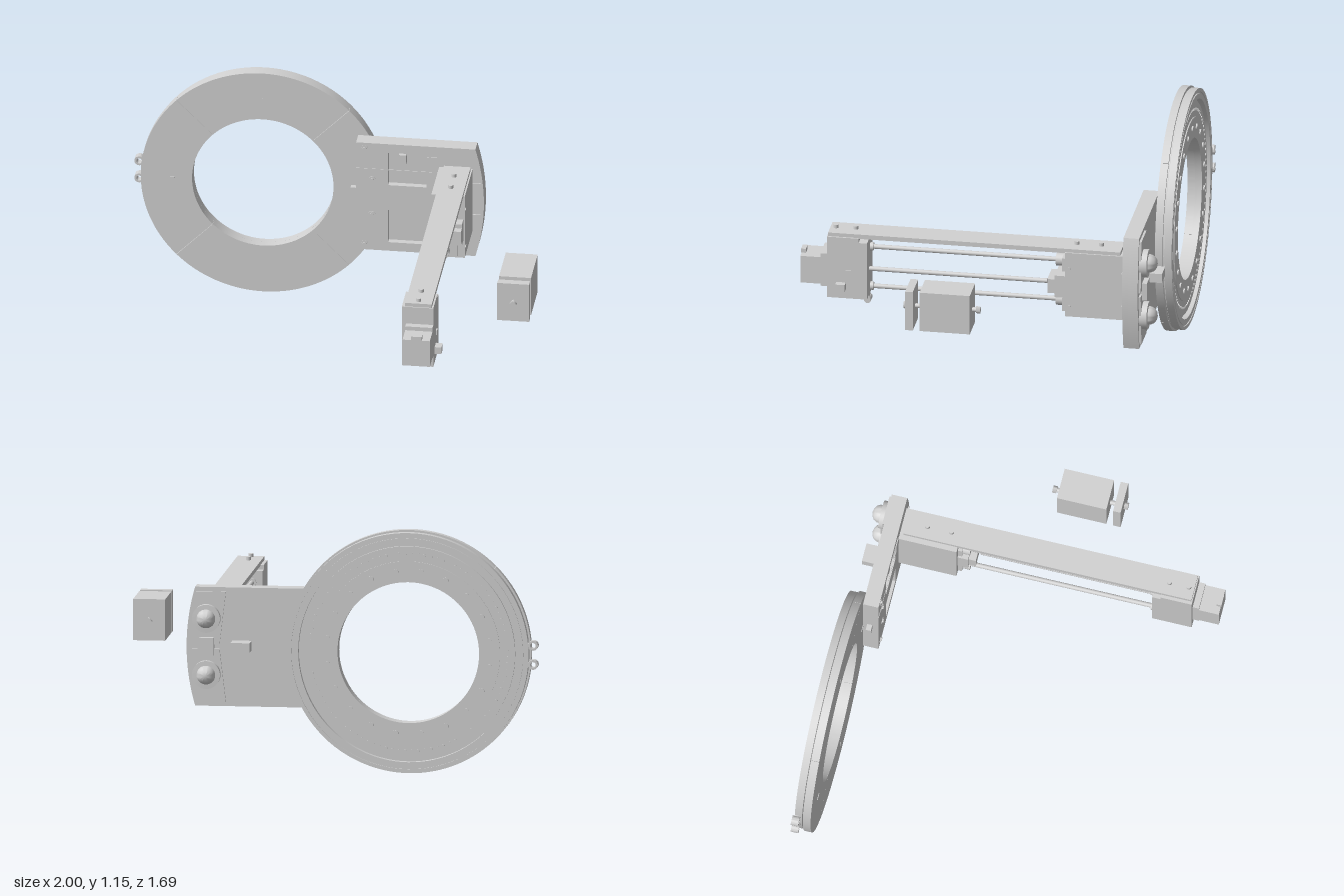
import * as THREE from 'three';
import { toCreasedNormals } from 'three/addons/utils/BufferGeometryUtils.js';

export function createModel() {
  const root = new THREE.Group();
  const grey = new THREE.MeshStandardMaterial({ color: 0xd2d2d2 });
  grey.name = 'lightGrey';

  const add = (name, geo, parent = root) => {
    const m = new THREE.Mesh(geo, grey);
    m.name = name;
    parent.add(m);
    return m;
  };
  const group = (name) => {
    const g = new THREE.Group();
    g.name = name;
    root.add(g);
    return g;
  };
  // box given by its limits on each axis
  const box = (name, x0, x1, y0, y1, z0, z1, parent) => {
    const m = add(name, new THREE.BoxGeometry(x1 - x0, y1 - y0, z1 - z0), parent);
    m.position.set((x0 + x1) / 2, (y0 + y1) / 2, (z0 + z1) / 2);
    return m;
  };
  // cylinder centred at x, y, z along the named axis
  const rod = (name, axis, r, len, x, y, z, parent, sides = 20) => {
    const g = new THREE.CylinderGeometry(r, r, len, sides);
    if (axis === 'z') g.rotateX(Math.PI / 2);
    if (axis === 'x') g.rotateZ(Math.PI / 2);
    const m = add(name, g, parent);
    m.position.set(x, y, z);
    return m;
  };
  const extrude = (shape, depth, z) => {
    const g = new THREE.ExtrudeGeometry(shape, { depth, bevelEnabled: false, curveSegments: 32 });
    g.translate(0, 0, z);
    return toCreasedNormals(g, 0.5);
  };
  const polygon = (points) => new THREE.Shape(points.map(([x, y]) => new THREE.Vector2(x, y)));

  // ---- Ring: four front segments with fine seams, stepped back ring
  const ring = group('ring');
  ring.position.set(-0.388, 0.574, 0);
  for (let i = 0; i < 4; i++) {
    const a = Math.PI / 4 + i * Math.PI / 2 + 0.0015, b = a + Math.PI / 2 - 0.003;
    const s = new THREE.Shape();
    s.absarc(0, 0, 0.573, a, b, false);
    s.absarc(0, 0, 0.332, b, a, true);
    s.closePath();
    add('ringFrontSegment', extrude(s, 0.036, -0.793), ring);
    // small index mark on each segment
    const m = i * Math.PI / 2;
    const tick = box('indexMark', -0.015, 0.015, -0.004, 0.004, -0.76, -0.754, ring);
    tick.position.x = 0.428 * Math.cos(m);
    tick.position.y = 0.428 * Math.sin(m);
    tick.rotation.z = m;
  }
  const profile = [
    [0.332, -0.825], [0.43, -0.825], [0.43, -0.820], [0.50, -0.820], [0.50, -0.808],
    [0.515, -0.808], [0.515, -0.835], [0.54, -0.835], [0.54, -0.829], [0.548, -0.829],
    [0.548, -0.835], [0.565, -0.835], [0.565, -0.80], [0.56, -0.797], [0.56, -0.793],
    [0.332, -0.793], [0.332, -0.825],
  ].map(([r, z]) => new THREE.Vector2(r, z));
  const back = new THREE.LatheGeometry(profile, 96);
  back.rotateX(Math.PI / 2);
  add('ringBack', toCreasedNormals(back, 0.5), ring);
  const circle = (name, n, radius, r, z) => {
    for (let i = 0; i < n; i++) {
      const a = (i + 0.5) / n * Math.PI * 2;
      rod(name, 'z', r, 0.012, radius * Math.cos(a), radius * Math.sin(a), z, ring, 10);
    }
  };
  circle('ringBolt', 20, 0.385, 0.014, -0.826);
  circle('ringStud', 96, 0.465, 0.007, -0.818);

  // ---- Two eyelets on the far side of the ring
  for (const y of [0.53, 0.62]) {
    const eye = new THREE.Shape();
    eye.absarc(-0.975, y, 0.023, 0, Math.PI * 2, false);
    const hole = new THREE.Path();
    hole.absarc(-0.975, y, 0.013, 0, Math.PI * 2, true);
    eye.holes.push(hole);
    add('eyelet', extrude(eye, 0.035, -0.843));
    box('eyeletTab', -0.956, -0.94, y - 0.01, y + 0.01, -0.835, -0.815);
  }

  // ---- Mounting plate with curved outer edge and two pockets
  const plate = group('mountingPlate');
  const outline = () => {
    const s = new THREE.Shape();
    s.moveTo(0.06, 0.295);
    s.lineTo(0.62, 0.295);
    s.quadraticCurveTo(0.70, 0.575, 0.62, 0.855);
    s.lineTo(0.06, 0.855);
    s.closePath();
    return s;
  };
  add('plateBack', extrude(outline(), 0.045, -0.757), plate);
  const front = outline();
  for (const [x0, x1, y0, y1] of [[0.21, 0.39, 0.34, 0.51], [0.21, 0.39, 0.64, 0.81]])
    front.holes.push(polygon([[x0, y0], [x0, y1], [x1, y1], [x1, y0]]));
  add('plateFront', extrude(front, 0.029, -0.712), plate);
  box('pocketBlock', 0.26, 0.295, 0.755, 0.80, -0.712, -0.685, plate);
  box('plateRidge', 0.06, 0.45, 0.718, 0.722, -0.684, -0.681, plate);
  box('plateStep', 0.392, 0.44, 0.725, 0.80, -0.684, -0.679, plate);
  for (const [x, y] of [[0.1, 0.825], [0.1, 0.325], [0.135, 0.665], [0.135, 0.482]]) {
    rod('plateWasher', 'z', 0.017, 0.012, x, y, -0.686, plate);
    rod('plateBolt', 'z', 0.009, 0.012, x, y, -0.682, plate);
  }
  box('edgeLatch', 0.03, 0.07, 0.552, 0.60, -0.737, -0.712, plate);
  box('rearStop', 0.355, 0.445, 0.56, 0.605, -0.835, -0.75, plate);
  box('sideLatch', 0.60, 0.645, 0.49, 0.515, -0.69, -0.677, plate);
  box('sideLatch', 0.60, 0.645, 0.665, 0.68, -0.69, -0.677, plate);

  // ---- Tapered bracket and domed knobs on the back of the plate
  for (const s of [-1, 1])
    add('knobBracket', extrude(polygon([
      [0.505, 0.575 + s * 0.01], [0.635, 0.575 + s * 0.01],
      [0.615, 0.575 + s * 0.26], [0.475, 0.575 + s * 0.26],
    ]), 0.012, -0.767));
  for (const y of [0.71, 0.445]) {
    const knob = new THREE.LatheGeometry([
      [0, 0], [0.066, 0], [0.066, 0.045], [0.044, 0.046], [0.042, 0.058],
      [0.034, 0.074], [0.019, 0.084], [0, 0.088],
    ].map(([r, h]) => new THREE.Vector2(r, h)), 32);
    knob.rotateX(-Math.PI / 2);
    add('domeKnob', toCreasedNormals(knob, 0.7)).position.set(0.565, y, -0.748);
  }
  box('knobBridge', 0.53, 0.60, 0.535, 0.62, -0.79, -0.75);

  // ---- Linear slide: bearing housing, motor housing, beam and rods
  const slide = group('linearSlide');
  box('rearHousing', 0.45, 0.607, 0.43, 0.753, -0.69, -0.405, slide);
  box('bearingStep', 0.47, 0.60, 0.52, 0.63, -0.41, -0.355, slide);
  box('bearingNose', 0.48, 0.60, 0.54, 0.61, -0.36, -0.32, slide);
  box('topBeam', 0.475, 0.6, 0.748, 0.77, -0.665, 0.715, slide);
  box('frontHousing', 0.46, 0.608, 0.445, 0.752, 0.57, 0.72, slide);
  box('frontHousingStep', 0.46, 0.608, 0.445, 0.73, 0.53, 0.57, slide);
  box('driveMotor', 0.48, 0.608, 0.51, 0.645, 0.72, 0.845, slide);
  box('driveMotorCollar', 0.48, 0.608, 0.50, 0.665, 0.72, 0.75, slide);
  box('motorConnector', 0.52, 0.57, 0.645, 0.665, 0.825, 0.848, slide);
  for (const y of [0.675, 0.475]) {
    rod('guideRod', 'z', 0.011, 0.95, 0.51, y, 0.07, slide);
    rod('frontRodCollar', 'z', 0.02, 0.02, 0.51, y, 0.525, slide);
    box('rodClamp', 0.475, 0.575, y - 0.033, y + 0.033, -0.41, -0.385, slide);
    rod('rodCollar', 'z', 0.03, 0.04, 0.51, y, -0.369, slide);
  }
  rod('leadScrew', 'z', 0.011, 0.85, 0.54, 0.575, 0.115, slide);
  for (const z of [-0.565, -0.45, 0.595, 0.688])
    rod('beamBolt', 'y', 0.012, 0.022, 0.535, 0.775, z, slide);
  box('sideKnob', 0.60, 0.64, 0.49, 0.525, 0.63, 0.675, slide);
  box('sidePin', 0.60, 0.614, 0.565, 0.59, 0.605, 0.63, slide);
  box('lowerNub', 0.505, 0.55, 0.425, 0.45, 0.53, 0.545, slide);
  rod('lowerNubRoller', 'x', 0.016, 0.05, 0.53, 0.42, 0.537, slide);
  for (const y of [0.48, 0.675])
    rod('housingBolt', 'x', 0.008, 0.006, 0.608, y, -0.425, slide);
  for (const y of [0.477, 0.68])
    box('housingSlot', 0.60, 0.611, y - 0.005, y + 0.005, -0.73, -0.68, slide);

  // ---- Separate carriage block with its end plate and shaft
  const carriage = group('carriage');
  box('carriageBlock', 0.85, 1.0, 0.48, 0.675, -0.022, 0.215, carriage);
  box('carriagePlate', 0.85, 1.0, 0.48, 0.675, 0.247, 0.283, carriage);
  rod('carriageShaft', 'z', 0.011, 0.35, 0.925, 0.575, 0.12, carriage);
  for (const z of [0.292, -0.05])
    rod('shaftTip', 'z', 0.018, 0.02, 0.925, 0.575, z, carriage, 4);

  return root;
}
